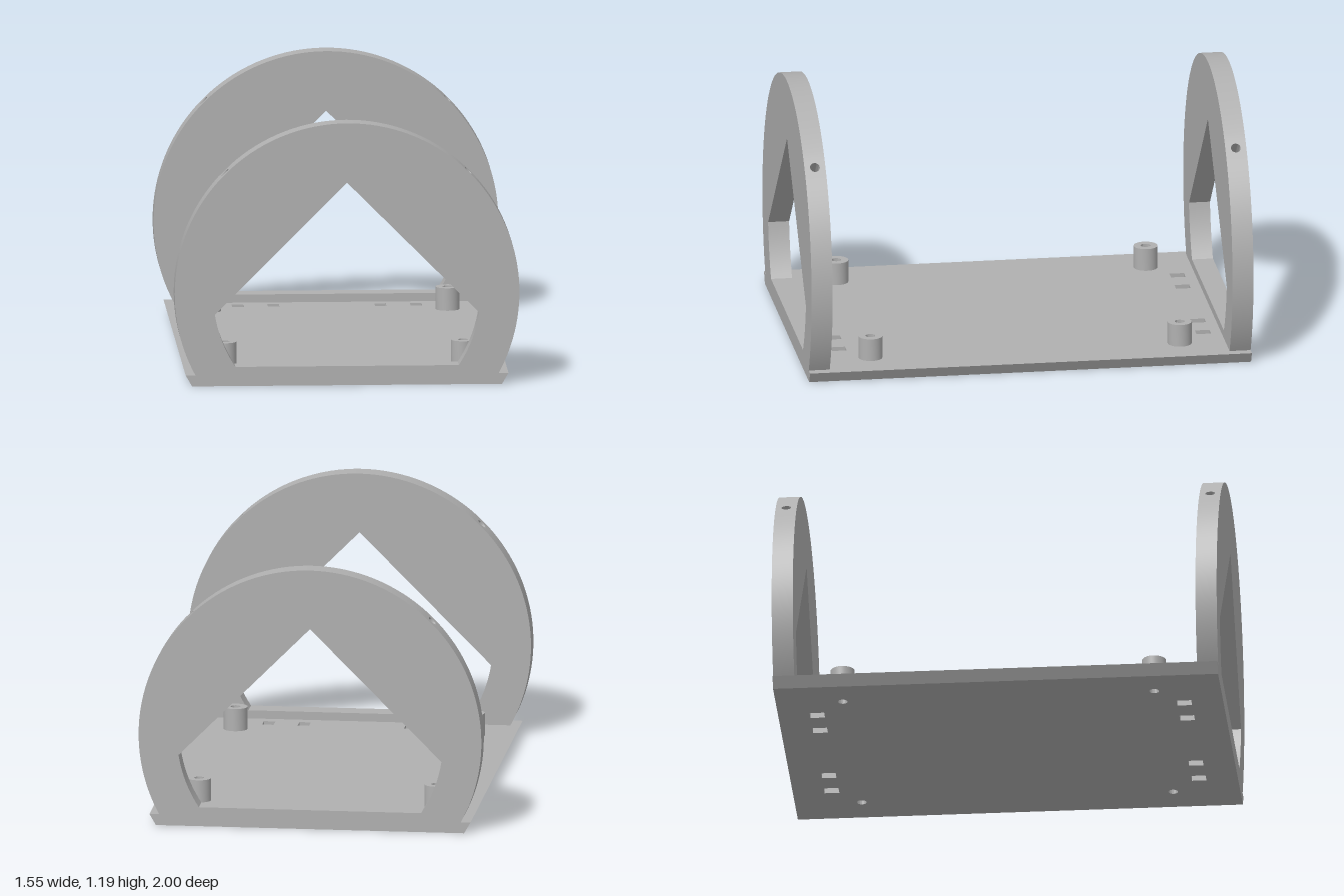
import * as THREE from 'three';
import { toCreasedNormals, mergeGeometries } from 'three/addons/utils/BufferGeometryUtils.js';

const R = 0.773, CY = 0.417;          // end frame outer radius and centre height
const INNER_R = 0.6;                  // rounded lower corners of the opening
const T = 0.095;                      // end frame thickness
const BASE_H = 0.05;
const HOLE_R = 0.022;
const HALF = 0.05;                    // half angle of the flat around each screw hole
const SCREW_ANGLES = [Math.PI / 4, 3 * Math.PI / 4];

const circlePath = (x, y, r) => new THREE.Path().absarc(x, y, r, 0, Math.PI * 2, true);

const polygon = (Type, pts) => new Type(pts.map(([x, y]) => new THREE.Vector2(x, y)));

function arcPoints(r, a, b, n) {
  return Array.from({ length: n + 1 }, (_, i) => {
    const t = a + (b - a) * i / n;
    return [r * Math.cos(t), CY + r * Math.sin(t)];
  });
}

// Base plate: sloped long edges, slots and screw holes
function baseGeometry() {
  const top = 0.724, bottom = 0.695;
  const shape = polygon(THREE.Shape, [[-top, -1], [top, -1], [top, 1], [-top, 1]]);
  for (const sz of [-1, 1]) for (const sx of [-1, 1]) {
    shape.holes.push(circlePath(sx * 0.535, sz * 0.7, HOLE_R));
    for (const x of [0.24, 0.4]) {
      const cx = sx * x, cz = sz * 0.825, w = 0.026, d = 0.033;
      shape.holes.push(polygon(THREE.Path,
        [[cx - w, cz - d], [cx - w, cz + d], [cx + w, cz + d], [cx + w, cz - d]]));
    }
  }
  const geo = new THREE.ExtrudeGeometry(shape, { depth: BASE_H, bevelEnabled: false, curveSegments: 24 });
  geo.rotateX(Math.PI / 2).translate(0, BASE_H, 0);
  const p = geo.attributes.position;
  for (let i = 0; i < p.count; i++) {
    if (Math.abs(p.getX(i)) > 0.7 && p.getY(i) < 0.01) p.setX(i, Math.sign(p.getX(i)) * bottom);
  }
  return toCreasedNormals(geo, 0.5);
}

// End frame: round plate with a house-shaped opening and drilled rim
function frameGeometry() {
  const start = Math.asin((BASE_H - CY) / R);
  const [s1, s2] = SCREW_ANGLES;
  const shape = polygon(THREE.Shape, [
    ...arcPoints(R, start, s1 - HALF, 32),
    ...arcPoints(R, s1 + HALF, s2 - HALF, 32),
    ...arcPoints(R, s2 + HALF, Math.PI - start, 32),
  ]);
  const low = Math.asin((0.087 - CY) / INNER_R), high = Math.asin((0.325 - CY) / INNER_R);
  shape.holes.push(polygon(THREE.Path, [
    [0, 0.92],
    ...arcPoints(INNER_R, Math.PI - high, Math.PI - low, 10),
    ...arcPoints(INNER_R, low, high, 10),
  ]));
  const solid = new THREE.ExtrudeGeometry(shape, { depth: T, bevelEnabled: false }).translate(0, 0, -T / 2);

  // Leave out the rim facets where the drilled patches go
  const p = solid.attributes.position, kept = [];
  const v = [0, 1, 2].map(() => new THREE.Vector3());
  for (let i = 0; i < p.count; i += 3) {
    v.forEach((q, k) => q.fromBufferAttribute(p, i + k));
    const onRim = v.every(q => Math.abs(Math.hypot(q.x, q.y - CY) - R) < 1e-3);
    const isWall = v.some(q => Math.abs(q.z - v[0].z) > 1e-3);
    const angle = Math.atan2(v[0].y + v[1].y + v[2].y - 3 * CY, v[0].x + v[1].x + v[2].x);
    if (onRim && isWall && SCREW_ANGLES.some(a => Math.abs(angle - a) < 0.04)) continue;
    v.forEach(q => kept.push(q.x, q.y, q.z));
  }
  const body = new THREE.BufferGeometry();
  body.setAttribute('position', new THREE.Float32BufferAttribute(kept, 3));

  const w = R * Math.sin(HALF), h = T / 2;
  const patches = SCREW_ANGLES.map(a => {
    const s = polygon(THREE.Shape, [[-h, -w], [h, -w], [h, w], [-h, w]]);
    s.holes.push(circlePath(0, 0, HOLE_R));
    const g = new THREE.ShapeGeometry(s, 24).toNonIndexed();
    g.deleteAttribute('uv');
    g.deleteAttribute('normal');
    return g.rotateY(Math.PI / 2).translate(R * Math.cos(HALF), 0, 0).rotateZ(a).translate(0, CY, 0);
  });
  return toCreasedNormals(mergeGeometries([body, ...patches]), 0.5);
}

// Lathe with sharp edges between its straight profile sections
function turned(pts) {
  const geo = new THREE.LatheGeometry(pts.map(([x, y]) => new THREE.Vector2(x, y)), 32);
  return toCreasedNormals(geo.toNonIndexed(), 0.5);
}

export function createModel() {
  const model = new THREE.Group();
  const grey = new THREE.MeshStandardMaterial({ color: 0xb0b0b0, side: THREE.DoubleSide });
  grey.name = 'plain grey';

  const add = (parent, name, geo) => {
    const mesh = new THREE.Mesh(geo, grey);
    mesh.name = name;
    parent.add(mesh);
    return mesh;
  };

  add(model, 'basePlate', baseGeometry());

  // Two end frames with blind screw holes in the rim
  const frameGeo = frameGeometry();
  const boreGeo = turned([[0, -0.25], [HOLE_R, -0.25], [HOLE_R, 0]]);
  for (const [name, sz] of [['frontFrame', 1], ['backFrame', -1]]) {
    const frame = new THREE.Group();
    frame.name = name;
    add(frame, 'framePlate', frameGeo);
    for (const a of SCREW_ANGLES) {
      const bore = add(frame, 'screwHole', boreGeo);
      const r = R * Math.cos(HALF);
      bore.position.set(r * Math.cos(a), CY + r * Math.sin(a), 0);
      bore.rotation.z = a - Math.PI / 2;
    }
    frame.position.z = sz * (1 - T / 2);
    model.add(frame);
  }

  // Hollow standoffs over the base screw holes
  const standoffGeo = turned([[HOLE_R, BASE_H], [0.054, BASE_H], [0.054, 0.152], [HOLE_R, 0.152], [HOLE_R, BASE_H]]);
  for (const sx of [-1, 1]) for (const sz of [-1, 1]) {
    add(model, 'standoff', standoffGeo).position.set(sx * 0.535, 0, sz * 0.7);
  }
  return model;
}
